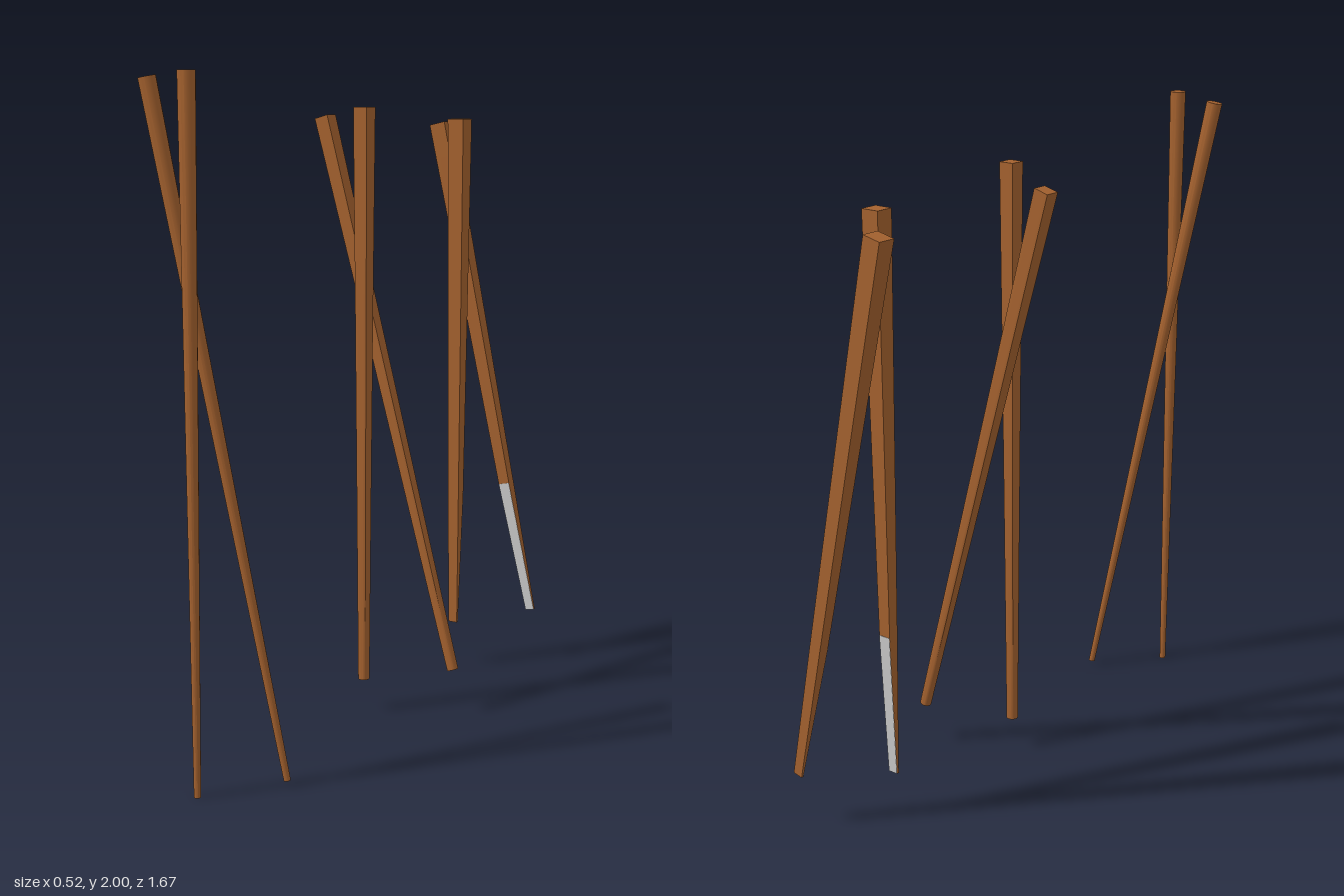
import * as THREE from 'three';
import { toCreasedNormals } from 'three/addons/utils/BufferGeometryUtils.js';

const SIDES = 16;

// Closed skin over sections [y, halfX, zMin, zMax, roundness], bottom to top.
// Roundness 0 gives a rectangle, 1 an ellipse.
function loft(sections) {
  const pos = [], index = [];
  const last = sections.length - 1;
  for (const [y, hx, z0, z1, round] of sections) {
    for (let j = 0; j < SIDES; j++) {
      const a = (j / SIDES) * Math.PI * 2;
      const c = Math.cos(a), s = Math.sin(a);
      const k = THREE.MathUtils.lerp(1 / Math.max(Math.abs(c), Math.abs(s)), 1, round);
      pos.push(c * k * hx, y, (z0 + z1) / 2 + (s * k * (z1 - z0)) / 2);
    }
  }
  const bottom = pos.length / 3, top = bottom + 1;
  for (const [y, , z0, z1] of [sections[0], sections[last]]) pos.push(0, y, (z0 + z1) / 2);
  for (let j = 0; j < SIDES; j++) {
    const n = (j + 1) % SIDES;
    for (let i = 0; i < last; i++) {
      const a = i * SIDES + j, b = i * SIDES + n;
      index.push(a, a + SIDES, b, b, a + SIDES, b + SIDES);
    }
    index.push(bottom, j, n, top, last * SIDES + n, last * SIDES + j);
  }
  const g = new THREE.BufferGeometry();
  g.setAttribute('position', new THREE.Float32BufferAttribute(pos, 3));
  g.setIndex(index);
  return toCreasedNormals(g, Math.PI / 6);
}

export function createModel() {
  const model = new THREE.Group();
  const wood = new THREE.MeshStandardMaterial({ color: 0xa5622f });
  const pale = new THREE.MeshStandardMaterial({ color: 0xcccccc });

  // All sticks pivot at mid height; tilt is the direction from centre to top.
  function addStick(name, parts, z, tilt, turn = 0) {
    const stick = new THREE.Group();
    stick.name = name;
    for (const [partName, geometry, material] of parts) {
      const mesh = new THREE.Mesh(geometry, material);
      mesh.name = partName;
      stick.add(mesh);
    }
    const up = new THREE.Vector3(0, 1, 0);
    stick.quaternion.setFromUnitVectors(up, new THREE.Vector3(...tilt).normalize());
    stick.quaternion.multiply(new THREE.Quaternion().setFromAxisAngle(up, turn));
    stick.position.set(0, 1, z);
    model.add(stick);
  }

  // Round, slender pair
  const round = [['roundShaft', loft([
    [-1, 0.01, -0.01, 0.01, 1],
    [1, 0.025, -0.025, 0.025, 1],
  ]), wood]];
  addStick('roundStickUpright', round, 0.81, [0, 1, 0]);
  addStick('roundStickLeaning', round, 0.69, [-0.162, 0.983, 0.085]);

  // Pair with square grips and round tips
  const squareToRound = [['squareToRoundShaft', loft([
    [-0.893, 0.018, -0.018, 0.018, 1],
    [-0.3, 0.02, -0.02, 0.02, 0.66],
    [0.3, 0.022, -0.022, 0.022, 0.33],
    [0.893, 0.024, -0.024, 0.024, 0],
  ]), wood]];
  addStick('squareStickUpright', squareToRound, -0.045, [0, 1, 0]);
  addStick('squareStickLeaning', squareToRound, -0.19, [-0.24, 0.86, 0]);

  // Thick square pair with a pale bevel along one side of the tip
  const bevelled = [
    ['bevelledShaft', loft([
      [-0.848, 0.016, 0.009, 0.016, 0],
      [-0.4, 0.02, -0.013, 0.02, 0],
      [0.848, 0.029, -0.028, 0.028, 0],
    ]), wood],
    ['tipBevel', loft([
      [-0.848, 0.0155, 0.0078, 0.0095, 0],
      [-0.4, 0.0195, -0.0142, -0.0125, 0],
    ]), pale],
  ];
  addStick('bevelledStickUpright', bevelled, -0.618, [0, 1, 0]);
  addStick('bevelledStickLeaning', bevelled, -0.808, [-0.182, 0.827, 0], Math.PI);

  return model;
}
